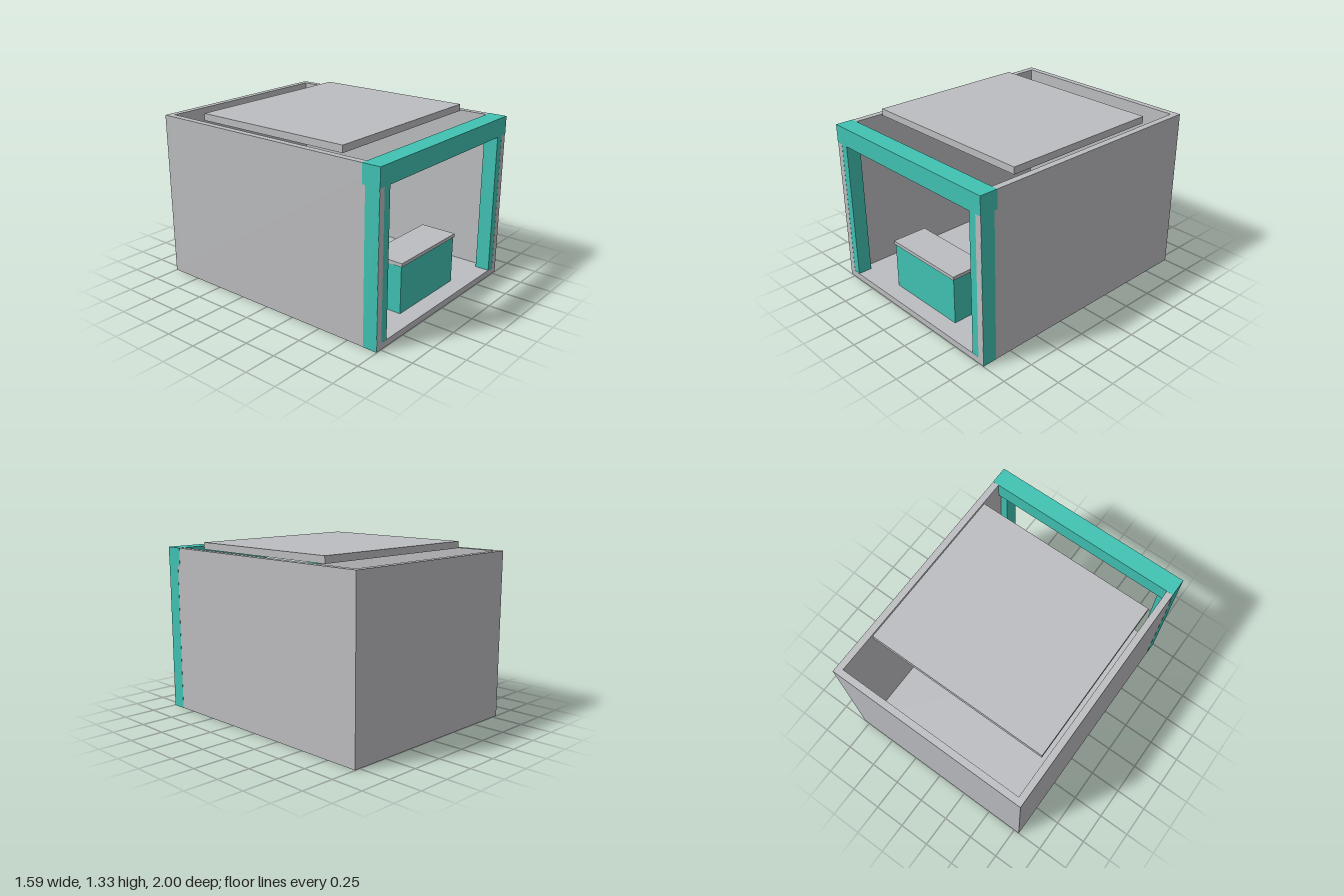
import * as THREE from 'three';

export function createModel() {
  const model = new THREE.Group();
  model.name = 'marketStall';
  const grey = new THREE.MeshStandardMaterial({ color: 0xbcbdc0 });
  grey.name = 'light grey';
  const teal = new THREE.MeshStandardMaterial({ color: 0x40c2b3 });
  teal.name = 'teal';

  // Box given by its extents along each axis
  const block = (name, material, [x0, x1], [y0, y1], [z0, z1]) => {
    const mesh = new THREE.Mesh(new THREE.BoxGeometry(x1 - x0, y1 - y0, z1 - z0), material);
    mesh.position.set((x0 + x1) / 2, (y0 + y1) / 2, (z0 + z1) / 2);
    mesh.name = name;
    model.add(mesh);
  };
  const mirrored = (a, b, side) => (side > 0 ? [a, b] : [-b, -a]);

  const W = 0.795, H = 1.28, T = 0.05, front = 0.998;

  // Shell: floor, back wall and side walls, open at the front
  block('floor', grey, [-W, W], [0.001, T], [-1, front]);
  block('backWall', grey, [-W, W], [T, H], [-1, -1 + T]);
  for (const side of [1, -1]) {
    const label = side > 0 ? 'left' : 'right';
    block(label + 'Wall', grey, mirrored(W - T, W, side), [T, H], [-1 + T, front]);
    // Pillars clasp the front end of each wall
    block(label + 'Pillar', teal, mirrored(0.685, W + 0.001, side), [0, 1.14], [0.885, front - 0.001]);
  }

  // Beam across the front opening
  block('frontBeam', teal, [-W - 0.001, W + 0.001], [1.14, H + 0.001], [0.86, 1]);

  // Raised roof panel
  block('roofPanel', grey, [-0.717, 0.717], [H, 1.333], [-0.65, 0.645]);

  // Counter with a slightly overhanging top
  block('counterBase', teal, [-0.34, 0.34], [0, 0.415], [0.595, 0.865]);
  block('counterTop', grey, [-0.347, 0.347], [0.415, 0.442], [0.587, 0.873]);

  return model;
}
